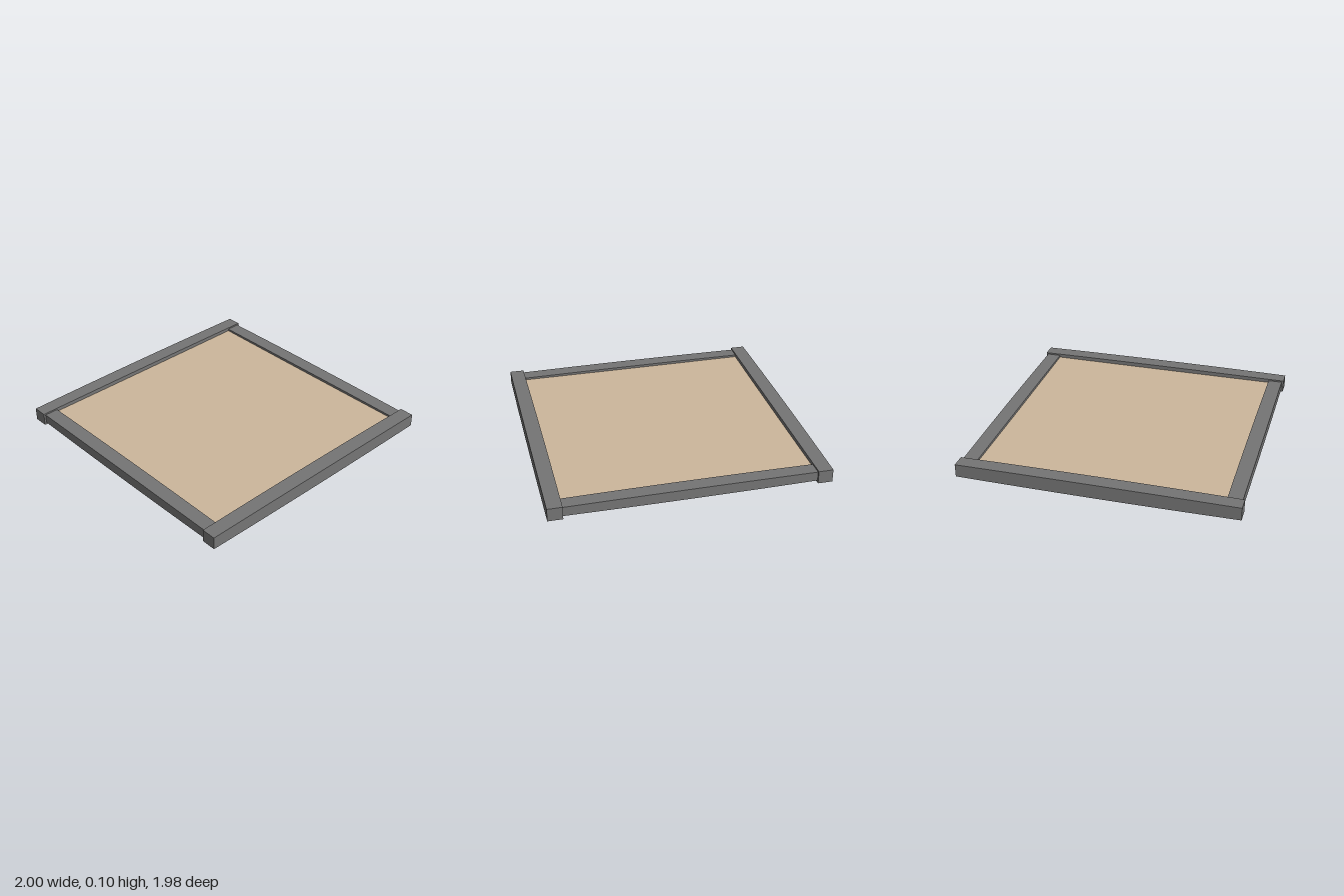
import * as THREE from 'three';

const frameGrey = new THREE.MeshStandardMaterial({ color: 0x757575, name: 'frameGrey', flatShading: true });
const panelTan = new THREE.MeshStandardMaterial({ color: 0xcdb79c, name: 'panelTan' });

// Beam along x, swelling slightly towards the middle
function beam(name, length, height, depth, swell) {
  const geo = new THREE.BoxGeometry(length, height, depth, 8, 1, 1);
  const p = geo.attributes.position;
  for (let i = 0; i < p.count; i++) {
    const t = 1 - Math.pow((2 * p.getX(i)) / length, 2);
    p.setY(i, p.getY(i) + Math.sign(p.getY(i)) * swell * t);
    p.setZ(i, p.getZ(i) + Math.sign(p.getZ(i)) * swell * 0.5 * t);
  }
  geo.computeVertexNormals();
  const mesh = new THREE.Mesh(geo, frameGrey);
  mesh.name = name;
  return mesh;
}

export function createModel() {
  const group = new THREE.Group();
  group.name = 'framedPanel';
  const midY = 0.056;

  for (const s of [1, -1]) {
    // Thick beams at the front and back
    const cross = beam(s > 0 ? 'frontBeam' : 'backBeam', 2, 0.094, 0.105, 0.005);
    cross.position.set(0, midY, s * 0.935);
    group.add(cross);

    // Thinner beams at the sides, butting against the thick ones
    const side = beam(s > 0 ? 'leftBeam' : 'rightBeam', 1.78, 0.068, 0.104, 0.004);
    side.rotation.y = Math.PI / 2;
    side.position.set(s * 0.934, midY + 0.002, 0);
    group.add(side);
  }

  // Panel recessed inside the frame
  const panel = new THREE.Mesh(new THREE.BoxGeometry(1.8, 0.052, 1.8), panelTan);
  panel.name = 'panel';
  panel.position.y = 0.051;
  group.add(panel);

  return group;
}
